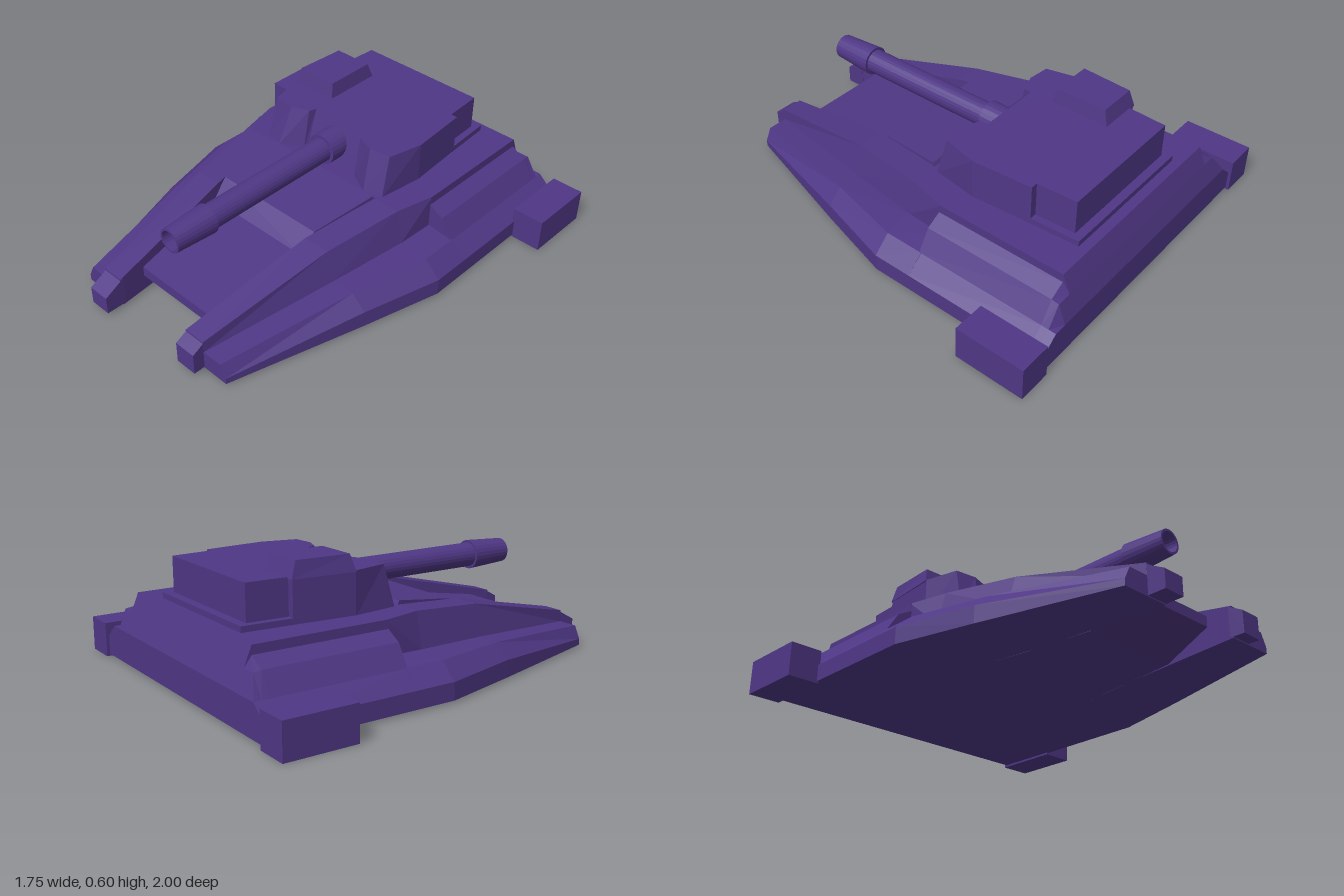
import * as THREE from 'three';

const material = new THREE.MeshStandardMaterial({ color: 0x4f3785, flatShading: true });

// Closed solid through matching rings of [x, y, z]; u, v are the axes of the end-cap plane.
function loft(rings, u, v) {
  const n = rings[0].length;
  const pos = [];
  const tri = (a, b, c) => pos.push(...a, ...b, ...c);
  const area = (a, b, c) => (b[u] - a[u]) * (c[v] - a[v]) - (c[u] - a[u]) * (b[v] - a[v]);
  for (let r = 0; r + 1 < rings.length; r++) {
    for (let i = 0; i < n; i++) {
      const j = (i + 1) % n, a = rings[r], b = rings[r + 1];
      tri(a[i], a[j], b[j]);
      tri(a[i], b[j], b[i]);
    }
  }
  [[rings[0], -1], [rings[rings.length - 1], 1]].forEach(([ring, dir]) => {
    const flat = ring.map(p => new THREE.Vector2(p[u], p[v]));
    const sign = Math.sign(THREE.ShapeUtils.area(flat)) * dir;
    for (const [i, j, k] of THREE.ShapeUtils.triangulateShape(flat, [])) {
      const [a, b, c] = [ring[i], ring[j], ring[k]];
      if (area(a, b, c) * sign > 0) tri(a, b, c); else tri(a, c, b);
    }
  });
  // turn the solid right side out if its volume is negative
  let volume = 0;
  const [a, b, c] = [0, 0, 0].map(() => new THREE.Vector3());
  for (let i = 0; i < pos.length; i += 9) {
    volume += a.fromArray(pos, i).dot(b.fromArray(pos, i + 3).cross(c.fromArray(pos, i + 6)));
  }
  if (volume < 0) {
    for (let i = 0; i < pos.length; i += 9) {
      for (let k = 0; k < 3; k++) [pos[i + 3 + k], pos[i + 6 + k]] = [pos[i + 6 + k], pos[i + 3 + k]];
    }
  }
  const geo = new THREE.BufferGeometry();
  geo.setAttribute('position', new THREE.Float32BufferAttribute(pos, 3));
  geo.computeVertexNormals();
  return geo;
}

const alongZ = rings => loft(rings, 0, 1);
const alongY = rings => loft(rings, 0, 2);
// half outline from +x, completed with its mirror image
const mirrored = half => [...half, ...half.map(([x, ...rest]) => [-x, ...rest]).reverse()];
const rect = (x0, x1, y0, y1, z) => [[x0, y0, z], [x1, y0, z], [x1, y1, z], [x0, y1, z]];

export function createModel() {
  const model = new THREE.Group();
  const add = (name, geo) => {
    const mesh = new THREE.Mesh(geo, material);
    mesh.name = name;
    model.add(mesh);
    return mesh;
  };

  // Central deck: z, half width, bottom, top
  add('centralDeck', alongZ([
    [0.79, 0.215, 0.10, 0.15], [0.55, 0.245, 0.012, 0.185], [0.31, 0.28, 0.01, 0.22],
    [0.23, 0.285, 0.01, 0.305], [-0.09, 0.34, 0.01, 0.352], [-0.1, 0.345, 0.01, 0.335],
    [-0.3, 0.36, 0.01, 0.335],
  ].map(([z, w, y0, y1]) => rect(-w, w, y0, y1, z))));

  // Rear hull with stepped shoulders and sloping back
  const shoulder = [[0.73, 0.01], [0.73, 0.09], [0.65, 0.16], [0.59, 0.255], [0.52, 0.295], [0.52, 0.335]];
  add('rearHull', alongZ([[-0.28, 1], [-0.915, 1], [-0.95, 0.25], [-0.985, 0.16]].map(([z, cap]) =>
    mirrored(shoulder.map(([x, y]) => [x, Math.min(y, cap), z])))));

  // Side prongs: z, inner x, outer x and y, ledge x and y, wall base x and y, top x and y
  const stations = [
    [0.915, 0.215, 0.45, 0.04, 0.42, 0.10, 0.321, 0.10, 0.32, 0.155],
    [0.28, 0.28, 0.63, 0.09, 0.56, 0.155, 0.45, 0.155, 0.41, 0.298],
    [-0.1, 0.34, 0.73, 0.09, 0.65, 0.163, 0.51, 0.175, 0.475, 0.335],
    [-0.29, 0.34, 0.73, 0.09, 0.65, 0.163, 0.521, 0.18, 0.52, 0.335],
  ];
  for (const s of [1, -1]) {
    const side = s > 0 ? 'left' : 'right';
    add(side + 'Prong', alongZ(stations.map(([z, xi, xo, yo, xl, yl, xw, yw, xt, yt]) => [
      [xi, 0.01], [xo, 0.01], [xo, yo], [xl, yl], [xw, yw], [xt, yt], [xi, yt],
    ].map(([x, y]) => [s * x, y, z]))));

    // Prong tip, slightly longer on the right
    const tip = s > 0 ? 0.97 : 1;
    add(side + 'ProngTip', alongZ([
      rect(s * 0.215, s * 0.32, 0.015, 0.155, 0.9),
      rect(s * 0.215, s * 0.32, 0.015, s > 0 ? 0.118 : 0.1, tip),
    ]));

    // Rear outrigger block
    const block = add(side + 'RearBlock', new THREE.BoxGeometry(0.155, 0.16, 0.33));
    block.position.set(s * 0.7975, 0.08, -0.835);
  }

  // Turret: half outline as x, lower z, upper x, upper z
  const plan = [
    [0.15, -0.18, 0.15, -0.24], [0.16, -0.165, 0.16, -0.2], [0.27, -0.105, 0.245, -0.17],
    [0.36, -0.13, 0.35, -0.18], [0.39, -0.35, 0.39, -0.35], [0.368, -0.64, 0.368, -0.64],
    [0.335, -0.64, 0.335, -0.64], [0.325, -0.83, 0.325, -0.83],
  ];
  add('turret', alongY([
    mirrored(plan.map(([x, z]) => [x, 0.33, z])),
    mirrored(plan.map(([, , x, z]) => [x, 0.525, z])),
  ]));
  add('turretBasePlate', alongY([0.33, 0.362].map(y =>
    mirrored([[0.37, y, -0.62], [0.355, y, -0.87]]))));

  // Tapered hatch on the turret's right
  add('hatch', alongY([
    [[-0.395, 0.52, -0.35], [-0.155, 0.52, -0.35], [-0.155, 0.52, -0.645], [-0.37, 0.52, -0.645]],
    [[-0.375, 0.595, -0.37], [-0.17, 0.595, -0.37], [-0.17, 0.595, -0.62], [-0.36, 0.595, -0.62]],
  ]));

  // Gun: collar, barrel, flared muzzle and hollow bore; radius, z
  const profile = [
    [0, -0.25], [0.075, -0.25], [0.075, -0.12], [0.058, -0.12], [0.058, 0.58],
    [0.07, 0.58], [0.058, 0.79], [0.048, 0.79], [0.048, 0.6], [0, 0.6],
  ].map(([r, z]) => new THREE.Vector2(r, z));
  const gun = add('gunBarrel', new THREE.LatheGeometry(profile, 24));
  gun.rotation.x = Math.PI / 2;
  gun.position.set(-0.005, 0.422, 0);

  return model;
}
